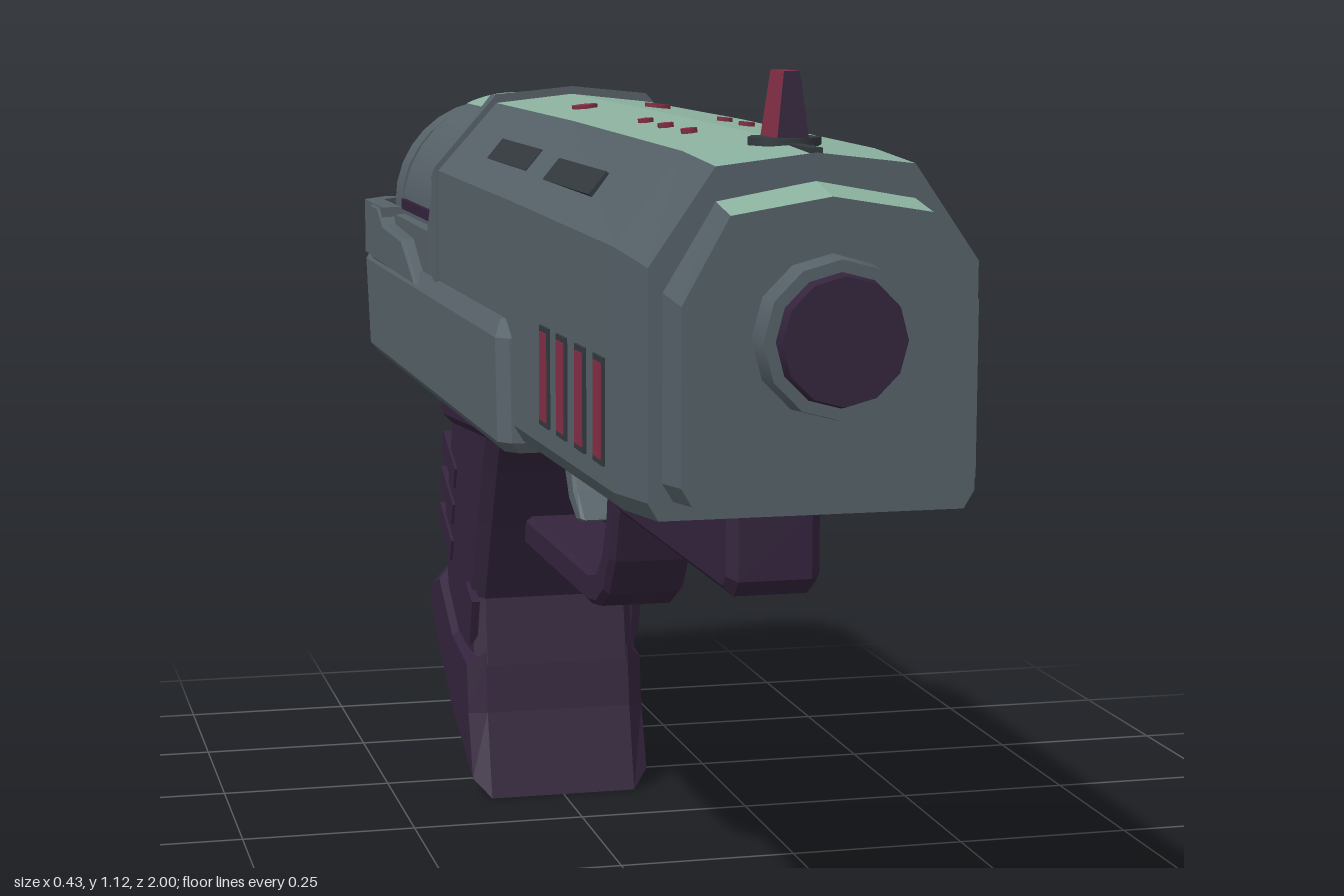
import * as THREE from 'three';

const mat = (name, color, side = THREE.FrontSide) => {
  const m = new THREE.MeshStandardMaterial({ color, side });
  m.name = name;
  return m;
};

// Skin closed cross-sections; pick(edge) chooses the material index of each side strip.
function loft(sections, pick = () => 0) {
  const n = sections[0].length, buckets = [[], []];
  const tri = (k, ...p) => p.forEach(v => buckets[k].push(...v));
  for (let i = 0; i < sections.length - 1; i++) {
    for (let j = 0; j < n; j++) {
      const k = (j + 1) % n, a = sections[i], b = sections[i + 1];
      tri(pick(j), a[j], a[k], b[k]);
      tri(pick(j), a[j], b[k], b[j]);
    }
  }
  const first = sections[0], last = sections[sections.length - 1];
  for (let j = 1; j < n - 1; j++) {
    tri(0, first[0], first[j + 1], first[j]);
    tri(0, last[0], last[j], last[j + 1]);
  }
  const g = new THREE.BufferGeometry();
  g.setAttribute('position', new THREE.Float32BufferAttribute([...buckets[0], ...buckets[1]], 3));
  g.addGroup(0, buckets[0].length / 3, 0);
  g.addGroup(buckets[0].length / 3, buckets[1].length / 3, 1);
  g.computeVertexNormals();
  return g;
}

// Extrude a [z, y] side profile across x, centred.
function sideExtrude(pts, width, bevel = 0.01) {
  const shape = new THREE.Shape(pts.map(p => new THREE.Vector2(p[0], p[1])));
  const depth = width - 2 * bevel;
  const g = new THREE.ExtrudeGeometry(shape, {
    depth, bevelEnabled: bevel > 0, bevelThickness: bevel, bevelSize: bevel, bevelOffset: -bevel, bevelSegments: 1,
  });
  return g.translate(0, 0, -depth / 2).rotateY(-Math.PI / 2);
}

// Octagonal slide section: half width, bottom, shoulder, top edge and ridge heights.
const slideSection = (z, w, bottom, shoulder, edge, ridge, ew = 0.11) => [
  [w - 0.012, bottom, z], [w, bottom + 0.02, z], [w, shoulder, z], [ew, edge, z], [0, ridge, z],
  [-ew, edge, z], [-w, shoulder, z], [-w, bottom + 0.02, z], [-w + 0.012, bottom, z],
];

export function createModel() {
  const model = new THREE.Group();
  model.name = 'pistol';
  const grey = mat('gunmetal', 0x566168);
  const charcoal = mat('charcoal', 0x33393e);
  const green = mat('paleGreen', 0x8bb09e, THREE.DoubleSide);
  const purple = mat('darkPurple', 0x34243d);
  const red = mat('crimson', 0x842f46);
  const add = (name, geo, material, x = 0, y = 0, z = 0) => {
    const m = new THREE.Mesh(geo, material);
    m.name = name;
    m.position.set(x, y, z);
    model.add(m);
    return m;
  };
  const box = (name, w, h, d, material, x, y, z) => add(name, new THREE.BoxGeometry(w, h, d), material, x, y, z);
  const tube = (name, r1, r0, z0, z1, material, y, sides = 24) =>
    add(name, new THREE.CylinderGeometry(r1, r0, z1 - z0, sides).rotateX(Math.PI / 2), material, 0, y, (z0 + z1) / 2);
  const topStrip = j => (j === 3 || j === 4 ? 1 : 0);

  // Slide with green top strip, nose block and rear cradle
  add('slide', loft([
    slideSection(-0.32, 0.195, 0.645, 0.955, 1.05, 1.062),
    slideSection(0.2, 0.193, 0.645, 0.95, 1.049, 1.06),
    slideSection(0.75, 0.187, 0.648, 0.94, 1.043, 1.055),
    slideSection(0.89, 0.183, 0.66, 0.93, 1.035, 1.048),
  ], topStrip), [grey, green]);
  add('noseBlock', loft([
    slideSection(0.88, 0.168, 0.68, 0.905, 1.0, 1.02),
    slideSection(0.95, 0.162, 0.685, 0.895, 0.988, 1.006),
  ], topStrip), [grey, green]);
  add('slideCollar', loft([
    slideSection(-0.352, 0.198, 0.66, 0.945, 1.06, 1.07),
    slideSection(-0.31, 0.2, 0.66, 0.96, 1.062, 1.073),
  ]), grey);
  add('rearCradle', loft([
    slideSection(-0.9, 0.185, 0.645, 0.79, 0.8, 0.8),
    slideSection(-0.72, 0.192, 0.645, 0.86, 0.865, 0.865),
    slideSection(-0.41, 0.195, 0.645, 0.86, 0.87, 0.87),
    slideSection(-0.35, 0.195, 0.645, 0.945, 0.955, 0.955),
  ]), grey);

  // Muzzle
  tube('muzzleRing', 0.084, 0.088, 0.94, 0.985, grey, 0.86, 12);
  tube('muzzleCore', 0.068, 0.08, 0.94, 1.0, purple, 0.86, 12);

  // Round chamber with end cap and green inlay
  const cy = 0.867;
  tube('chamber', 0.178, 0.178, -0.73, -0.33, grey, cy, 32);
  tube('chamberStep', 0.155, 0.155, -0.82, -0.72, grey, cy, 32);
  tube('chamberRing', 0.143, 0.143, -0.845, -0.815, purple, cy, 32);
  tube('endCap', 0.162, 0.162, -0.905, -0.84, grey, cy, 32);
  tube('endCapBevel', 0.162, 0.148, -0.922, -0.905, grey, cy, 32);
  const inlay = new THREE.PlaneGeometry(1, 1, 16, 1);
  const p = inlay.attributes.position;
  for (let i = 0; i < p.count; i++) {
    const u = p.getX(i), a = u * 0.86, back = p.getY(i) > 0;
    const front = -0.39 - 0.075 * (1 - Math.sqrt(Math.max(0, 1 - 4 * u * u)));
    p.setXYZ(i, Math.sin(a) * 0.181, Math.cos(a) * 0.181, back ? -0.73 : front);
  }
  inlay.computeVertexNormals();
  add('chamberInlay', inlay, green, 0, cy, 0);

  // Lower frame, built from stacked plan outlines
  const plan = (y, w, front, back) => [
    [w - 0.015, y, front], [w, y, front - 0.02], [w, y, back + 0.05], [w - 0.04, y, back],
    [-w + 0.04, y, back], [-w, y, back + 0.05], [-w, y, front - 0.02], [-w + 0.015, y, front],
  ];
  add('frame', loft([
    plan(0.628, 0.2, 0.215, -0.905), plan(0.642, 0.211, 0.222, -0.92),
    plan(0.775, 0.211, 0.21, -0.957), plan(0.797, 0.198, 0.185, -0.962),
  ]), grey);

  // Raised rim that wraps the back of the chamber
  const rim = new THREE.Shape();
  [[0.21, 0.74], [0.21, 0.92], [0.17, 0.972], [-0.17, 0.972], [-0.21, 0.92], [-0.21, 0.74],
    [-0.18, 0.74], [-0.18, 0.91], [-0.155, 0.94], [0.155, 0.94], [0.18, 0.91], [0.18, 0.74]]
    .forEach(([x, y], i) => (i ? rim.lineTo(x, y) : rim.moveTo(x, y)));
  add('rearRim', new THREE.ExtrudeGeometry(rim, { depth: 0.085, bevelEnabled: false }).rotateX(-Math.PI / 2), grey, 0, 0.785, 0);
  const railPts = [[-0.42, 0.78], [-0.54, 0.838], [-0.72, 0.845], [-0.77, 0.87], [-0.84, 0.87], [-0.84, 0.78]];

  // Parts mirrored on both flanks
  for (const s of [1, -1]) {
    add('sideRail', sideExtrude(railPts, 0.032, 0.005), grey, s * 0.197, 0, 0);
    box('chamberSeam', 0.008, 0.016, 0.32, purple, s * 0.178, 0.877, -0.56);
    const seam = box('chamberSeamCorner', 0.008, 0.016, 0.09, purple, s * 0.18, 0.905, -0.38);
    seam.rotation.x = -0.9;
    for (const z of [0.686, 0.595, 0.499, 0.407]) {
      const x = s * (0.193 - (z - 0.2) * 0.011);
      box('ventFrame', 0.006, 0.122, 0.05, charcoal, x, 0.752, z);
      box('vent', 0.009, 0.108, 0.036, red, x, 0.752, z);
    }
    for (const z of [0.4, 0.035]) {
      const groove = box('slideGroove', 0.034, 0.006, 0.26, charcoal, s * 0.152, 0.997 - z * 0.012, z);
      groove.rotation.z = -s * 0.88;
    }
    for (const [z, r] of [[0, 0.018], [0.34, 0.01], [0.44, 0.01], [0.55, 0.01]]) {
      const stud = add('topStud', new THREE.CylinderGeometry(r, r, 0.009, 6), red, s * 0.05, 1.056 - z * 0.006, z);
      stud.rotation.z = -s * 0.1;
    }
    box('gripButton', 0.012, 0.075, 0.06, purple, s * 0.125, 0.275, -0.46).rotation.x = 0.35;
  }

  // Front sight on its seat
  add('sightSeat', new THREE.CylinderGeometry(0.042, 0.042, 0.009, 8), charcoal, 0, 1.054, 0.77);
  box('sightGroove', 0.014, 0.008, 0.1, charcoal, 0, 1.049, 0.84);
  const sight = new THREE.BoxGeometry(0.04, 0.09, 0.07);
  const sp = sight.attributes.position;
  for (let i = 0; i < sp.count; i++) {
    if (sp.getY(i) > 0) sp.setXYZ(i, sp.getX(i) * 0.45, 0.045, sp.getZ(i) * 0.75);
  }
  sight.computeVertexNormals();
  add('frontSight', sight, [red, red, red, red, purple, red], 0, 1.085, 0.77);

  // Under-barrel rail, trigger guard and trigger
  add('underRail', sideExtrude([[0.75, 0.65], [0.75, 0.56], [0.73, 0.54], [0.17, 0.54], [0.17, 0.65]], 0.11, 0.012), purple);
  add('railPlate', sideExtrude([[0.22, 0.645], [0.2, 0.615], [-0.3, 0.608], [-0.3, 0.645]], 0.2, 0.008), purple);
  add('triggerGuard', sideExtrude([
    [0.205, 0.63], [0.19, 0.54], [0.165, 0.47], [0.13, 0.42], [0.085, 0.395], [0.03, 0.387], [-0.4, 0.387],
    [-0.4, 0.435], [0.03, 0.435], [0.08, 0.445], [0.115, 0.475], [0.14, 0.53], [0.158, 0.63],
  ], 0.11, 0.008), purple);
  add('trigger', sideExtrude([
    [-0.17, 0.63], [-0.185, 0.55], [-0.165, 0.51], [-0.115, 0.475], [-0.15, 0.467], [-0.2, 0.49],
    [-0.235, 0.54], [-0.25, 0.63],
  ], 0.06, 0.005), grey);

  // Grip, its flared top, magazine foot and finger ribs
  add('grip', sideExtrude([
    [-0.255, 0.64], [-0.3, 0.58], [-0.34, 0.51], [-0.385, 0.42], [-0.44, 0.3], [-0.42, 0.2], [-0.65, 0.2],
    [-0.68, 0.31], [-0.705, 0.37], [-0.66, 0.46], [-0.625, 0.55], [-0.68, 0.59], [-0.76, 0.64],
  ], 0.25, 0.018), purple);
  add('gripFlare', sideExtrude([
    [-0.25, 0.645], [-0.31, 0.56], [-0.61, 0.54], [-0.66, 0.585], [-0.78, 0.645],
  ], 0.28, 0.02), purple);
  add('gripFoot', sideExtrude([
    [-0.425, 0.22], [-0.41, 0.13], [-0.378, 0.005], [-0.6, 0.085], [-0.805, 0.225], [-0.765, 0.285], [-0.68, 0.312], [-0.56, 0.24],
  ], 0.27, 0.025), purple);
  [[-0.625, 0.485], [-0.645, 0.425], [-0.66, 0.365]].forEach(([z, y]) => {
    box('gripRib', 0.258, 0.036, 0.11, purple, 0, y, z).rotation.x = 0.42;
  });

  // Rear latch and tail block
  box('rearLatch', 0.08, 0.05, 0.06, purple, 0, 0.805, -0.97);
  box('tailBlock', 0.15, 0.07, 0.05, purple, 0, 0.7, -0.918).rotation.x = 0.25;
  return model;
}
